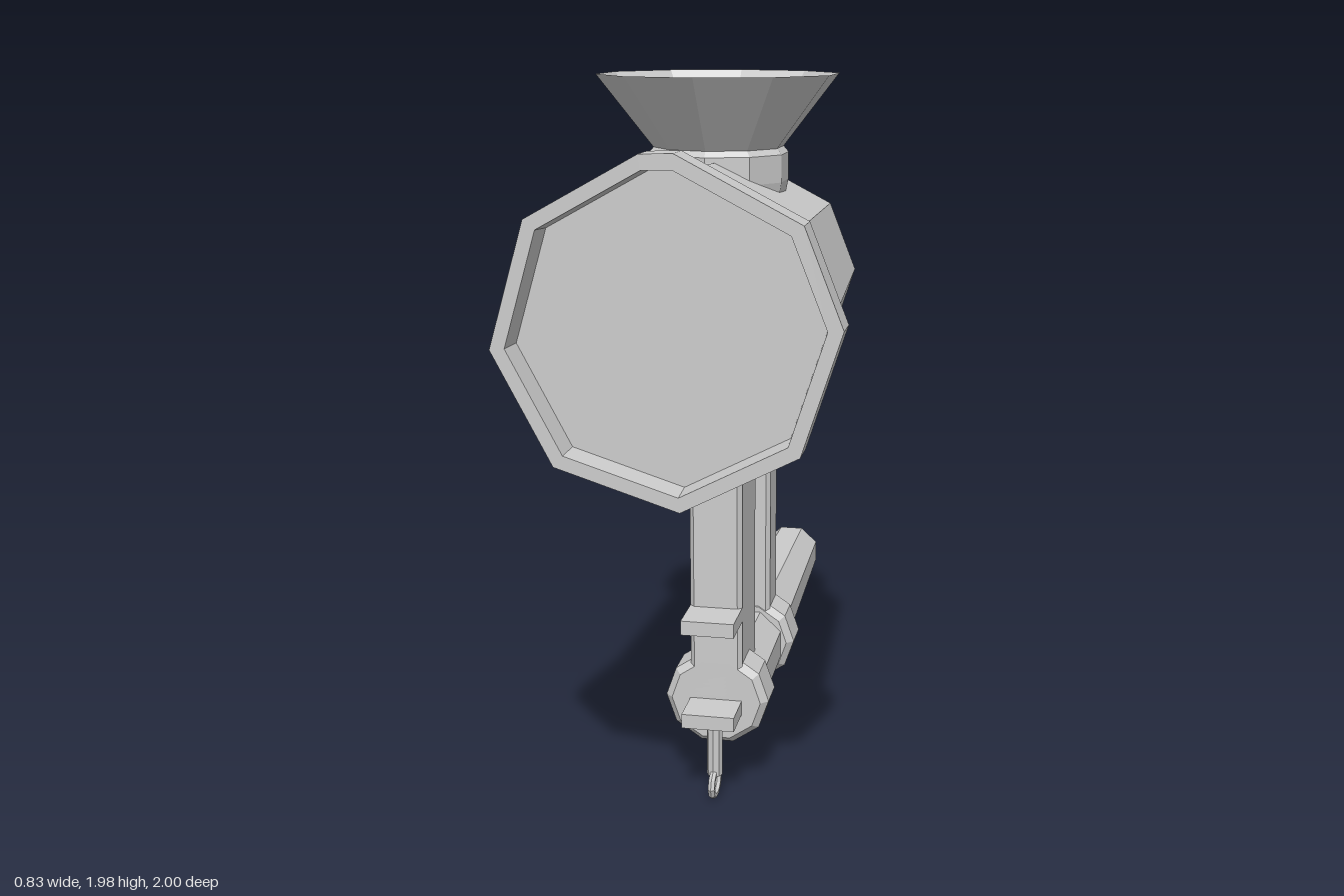
import * as THREE from 'three';

const material = new THREE.MeshStandardMaterial({ color: 0xcccccc, flatShading: true, side: THREE.DoubleSide });

// Faceted mesh with its own name
function part(name, geometry, x = 0, y = 0, z = 0) {
  const geo = geometry.index ? geometry.toNonIndexed() : geometry;
  geo.computeVertexNormals();
  const mesh = new THREE.Mesh(geo, material);
  mesh.name = name;
  mesh.position.set(x, y, z);
  return mesh;
}

// Profile of [radius, height] pairs turned about y
function turned(profile, sides, start = 0) {
  return new THREE.LatheGeometry(profile.map(([r, h]) => new THREE.Vector2(r, h)), sides, start);
}

// The same, with its axis along z
function turnedZ(profile, sides, start = 0) {
  return turned(profile, sides, start).rotateX(Math.PI / 2);
}

// Upright bar with chamfered long edges
function bar(width, height, depth, c) {
  const w = width / 2, d = depth / 2;
  const shape = new THREE.Shape([
    [-w + c, -d], [w - c, -d], [w, -d + c], [w, d - c],
    [w - c, d], [-w + c, d], [-w, d - c], [-w, -d + c],
  ].map(([x, y]) => new THREE.Vector2(x, y)));
  return new THREE.ExtrudeGeometry(shape, { depth: height, bevelEnabled: false }).rotateX(-Math.PI / 2);
}

export function createModel() {
  const group = new THREE.Group();
  const axisY = 1.425, handleY = 0.287;

  // Barrel: a slightly uneven polygon, flanged and recessed at the front
  const profile = [
    [0, -0.035], [0.12, -0.035], [0.29, 0.005], [0.325, 0.045], [0.375, 0.915],
    [0.415, 0.915], [0.415, 1], [0.378, 1], [0.372, 0.93], [0, 0.93],
  ];
  const corners = [-85, -40, 4, 39, 86, 97, 141, 186, 230, 275];
  const barrel = turnedZ(profile, corners.length - 1);
  const pos = barrel.attributes.position;
  corners.forEach((deg, i) => {
    const a = THREE.MathUtils.degToRad(deg);
    profile.forEach(([r, z], j) => {
      pos.setXYZ(i * profile.length + j, r * Math.cos(a), r * Math.sin(a), z);
    });
  });
  group.add(part('barrel', barrel, 0, axisY, 0));

  // Hopper collar and funnel
  const hopperZ = 0.35;
  group.add(part('hopperCollar', turned([[0.16, 1.6], [0.183, 1.72], [0.183, 1.79], [0.17, 1.805], [0.15, 1.805]], 10), 0, 0, hopperZ));
  group.add(part('hopper', turned([[0, 1.66], [0.065, 1.66], [0.17, 1.805], [0.315, 1.99]], 10), 0, 0, hopperZ));

  // Stand and its clamp jaws
  group.add(part('stand', bar(0.145, 0.85, 0.22, 0.012), 0, 0.3, 0.31));
  for (const [name, y] of [['upperJaw', 0.54], ['lowerJaw', 0.27]]) {
    group.add(part(name, new THREE.BoxGeometry(0.145, 0.04, 0.15), 0, y, 0.46));
  }

  // Clamp screw with its ring grip
  const screw = new THREE.Group();
  screw.name = 'clampScrew';
  screw.add(part('screwShaft', new THREE.CylinderGeometry(0.022, 0.022, 0.19, 8), 0, 0.17, 0.44));
  const ring = new THREE.TorusGeometry(0.047, 0.013, 6, 10).rotateY(Math.PI / 2).scale(0.8, 0.75, 1);
  screw.add(part('screwRing', ring, 0, 0.05, 0.44));
  group.add(screw);

  // Crank: hub with a recessed back and a small bolt, arm, lower collars
  const crankHub = [
    [0, -0.1], [0.022, -0.115], [0.035, -0.1], [0.075, -0.1], [0.085, -0.115], [0.105, -0.115],
    [0.11, -0.175], [0.148, -0.175], [0.167, -0.155], [0.167, -0.055], [0.15, -0.035], [0, -0.035],
  ];
  group.add(part('crankHub', turnedZ(crankHub, 10, Math.PI / 10).scale(1, 0.97, 1), 0, 1.43, 0));
  group.add(part('crankArm', bar(0.145, 1.0, 0.13, 0.012), 0, 0.32, -0.097));
  const collar = [[0, -0.07], [0.125, -0.07], [0.145, -0.05], [0.145, 0.05], [0.125, 0.07], [0, 0.07]];
  for (const [name, z] of [['frontCollar', 0.35], ['rearCollar', -0.1]]) {
    group.add(part(name, turnedZ(collar, 10, Math.PI / 10).scale(1, 0.93, 1), 0, handleY, z));
  }

  // Tapering handle with a rounded tip
  const handle = [[0, -1], [0.035, -0.995], [0.075, -0.965], [0.096, -0.92], [0.115, -0.15], [0.12, 0.3], [0, 0.3]];
  group.add(part('handle', turnedZ(handle, 8, Math.PI / 8).scale(1, 0.92, 1), 0, handleY - 0.005, 0));

  return group;
}
